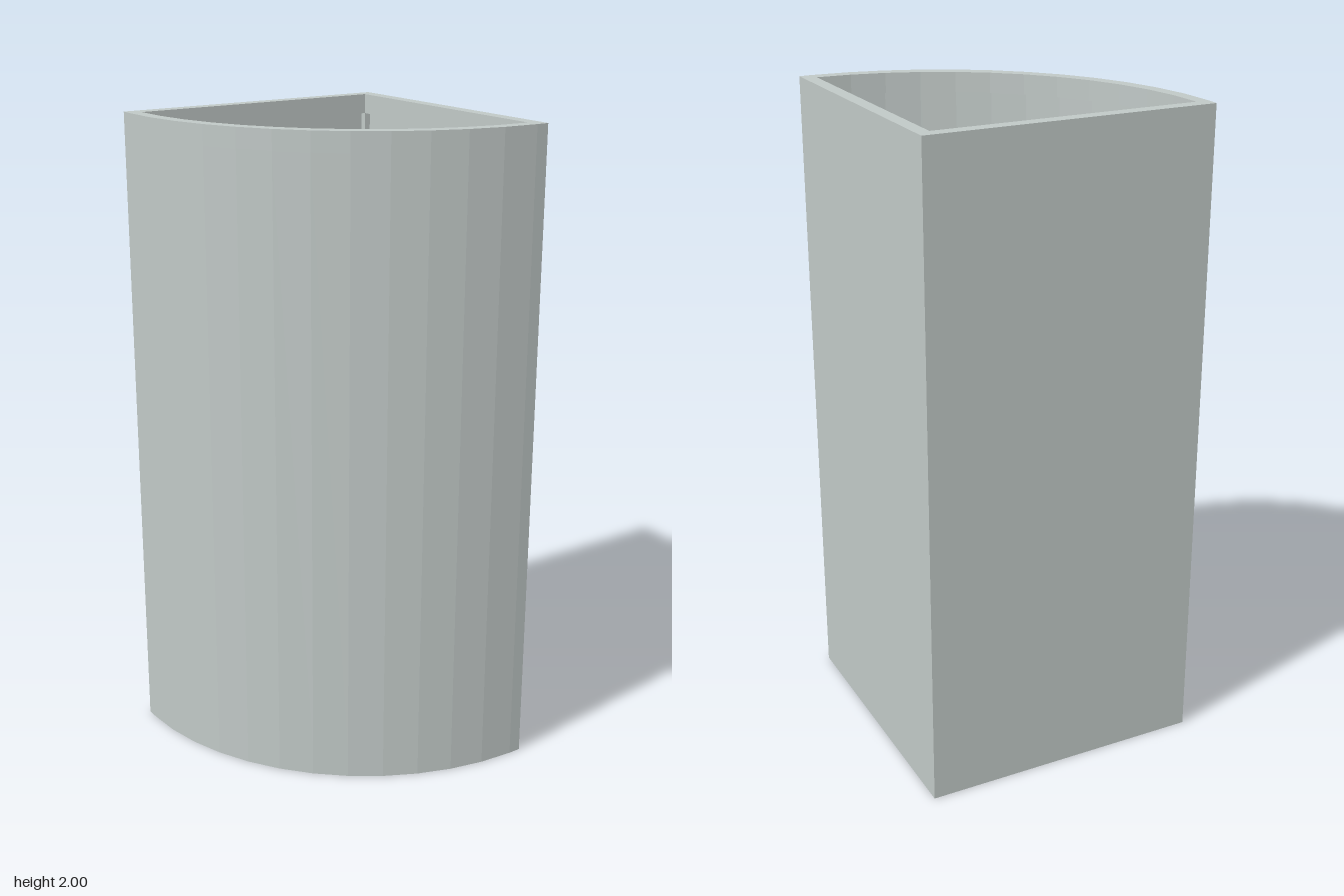
import * as THREE from 'three';

const TRAY = 0.1, FLOOR = 0.04, RAIL = 1.94, TOP = 2;

// Quarter-round plan outline, inset by d, as [x, z] points
function outline(d) {
  const c = 0.4, r = 0.84 - d, k = d - 0.04;
  const a0 = Math.asin(k / r), reach = Math.sqrt(r * r - k * k);
  const pts = [[c - k, -c + k], [c - reach, -c + k]];
  for (let i = 0; i <= 12; i++) {
    const a = (i * Math.PI) / 24;
    if (a > a0 + 1e-4 && a < Math.PI / 2 - a0 - 1e-4) pts.push([c - r * Math.cos(a), -c + r * Math.sin(a)]);
  }
  pts.push([c - k, -c + reach]);
  return pts;
}

const toVectors = (pts) => pts.map(([x, z]) => new THREE.Vector2(x, -z));

// Upright slab or ring between two heights
function slab(d, hole, y0, y1) {
  const shape = new THREE.Shape(toVectors(outline(d)));
  if (hole) shape.holes.push(new THREE.Path(toVectors(outline(hole))));
  return new THREE.ExtrudeGeometry(shape, { depth: y1 - y0, bevelEnabled: false })
    .rotateX(-Math.PI / 2).translate(0, y0, 0);
}

// Sloped wall joining two outlines with equal point counts
function slopedWall(dTop, yTop, dLow, yLow) {
  const a = outline(dTop), b = outline(dLow), pos = [];
  for (let i = 0; i < a.length; i++) {
    const j = (i + 1) % a.length;
    const A = [a[i][0], yTop, a[i][1]], B = [a[j][0], yTop, a[j][1]];
    const C = [b[j][0], yLow, b[j][1]], D = [b[i][0], yLow, b[i][1]];
    pos.push(...A, ...B, ...C, ...A, ...C, ...D);
  }
  const g = new THREE.BufferGeometry();
  g.setAttribute('position', new THREE.Float32BufferAttribute(pos, 3));
  g.computeVertexNormals();
  return g;
}

export function createModel() {
  const model = new THREE.Group();
  model.name = 'showerCabin';
  const grey = new THREE.MeshStandardMaterial({ color: 0xc0c8c6 });
  grey.name = 'paleGrey';
  grey.side = THREE.DoubleSide;

  const add = (parent, name, geometry, x = 0, y = 0, z = 0) => {
    const mesh = new THREE.Mesh(geometry, grey);
    mesh.name = name;
    mesh.position.set(x, y, z);
    parent.add(mesh);
    return mesh;
  };
  const box = (parent, name, w, h, d, x, y, z) => add(parent, name, new THREE.BoxGeometry(w, h, d), x, y, z);

  // Tray with a sunken basin
  add(model, 'trayBase', slab(0, 0, 0, FLOOR));
  add(model, 'trayRim', slab(0, 0.085, FLOOR, TRAY));
  add(model, 'basinWall', slopedWall(0.085, TRAY, 0.11, FLOOR));

  // Thin wall panels, thicker top rail and corner posts
  add(model, 'wallPanels', slab(0, 0.02, TRAY, RAIL));
  add(model, 'topRail', slab(0, 0.04, RAIL, TOP));
  for (const [x, z] of [[-0.419, -0.42], [0.42, -0.42], [0.42, 0.419]]) {
    box(model, 'cornerPost', 0.038, RAIL - TRAY, 0.038, x, (RAIL + TRAY) / 2, z);
  }

  // Mixer tap on the back wall
  const mixer = new THREE.Group();
  mixer.name = 'mixerTap';
  mixer.position.set(0, 0.95, 0);
  model.add(mixer);
  box(mixer, 'mixerPlate', 0.1, 0.06, 0.04, 0, 0, -0.4);
  box(mixer, 'mixerBody', 0.206, 0.05, 0.05, 0, 0, -0.356);
  for (const s of [-1, 1]) {
    box(mixer, 'handleStem', 0.02, 0.036, 0.036, s * 0.108, 0, -0.356);
    box(mixer, 'handle', 0.02, 0.05, 0.05, s * 0.122, 0, -0.356);
  }

  // Riser pipe with wall brackets
  const riser = new THREE.Group();
  riser.name = 'riser';
  model.add(riser);
  add(riser, 'pipe', new THREE.CylinderGeometry(0.018, 0.018, 0.751, 16), 0, 1.3255, -0.317);
  for (const y of [0.95, 1.68]) box(riser, 'bracket', 0.05, 0.04, 0.13, 0, y, -0.355);

  // Hand shower: bent handle cut from a side profile, with a tilted square head
  const profile = [[-0.335, 1.43], [-0.31, 1.41], [-0.19, 1.49], [-0.155, 1.49], [-0.15, 1.52], [-0.165, 1.555], [-0.2, 1.565]];
  const side = new THREE.Shape(profile.map(([z, y]) => new THREE.Vector2(-z, y)));
  const handle = new THREE.ExtrudeGeometry(side, { depth: 0.05, bevelEnabled: false })
    .translate(0, 0, -0.025).rotateY(Math.PI / 2);
  add(model, 'showerHandle', handle);
  const head = box(model, 'showerHead', 0.11, 0.03, 0.104, 0, 1.49, -0.163);
  head.rotation.x = -0.5;
  return model;
}
